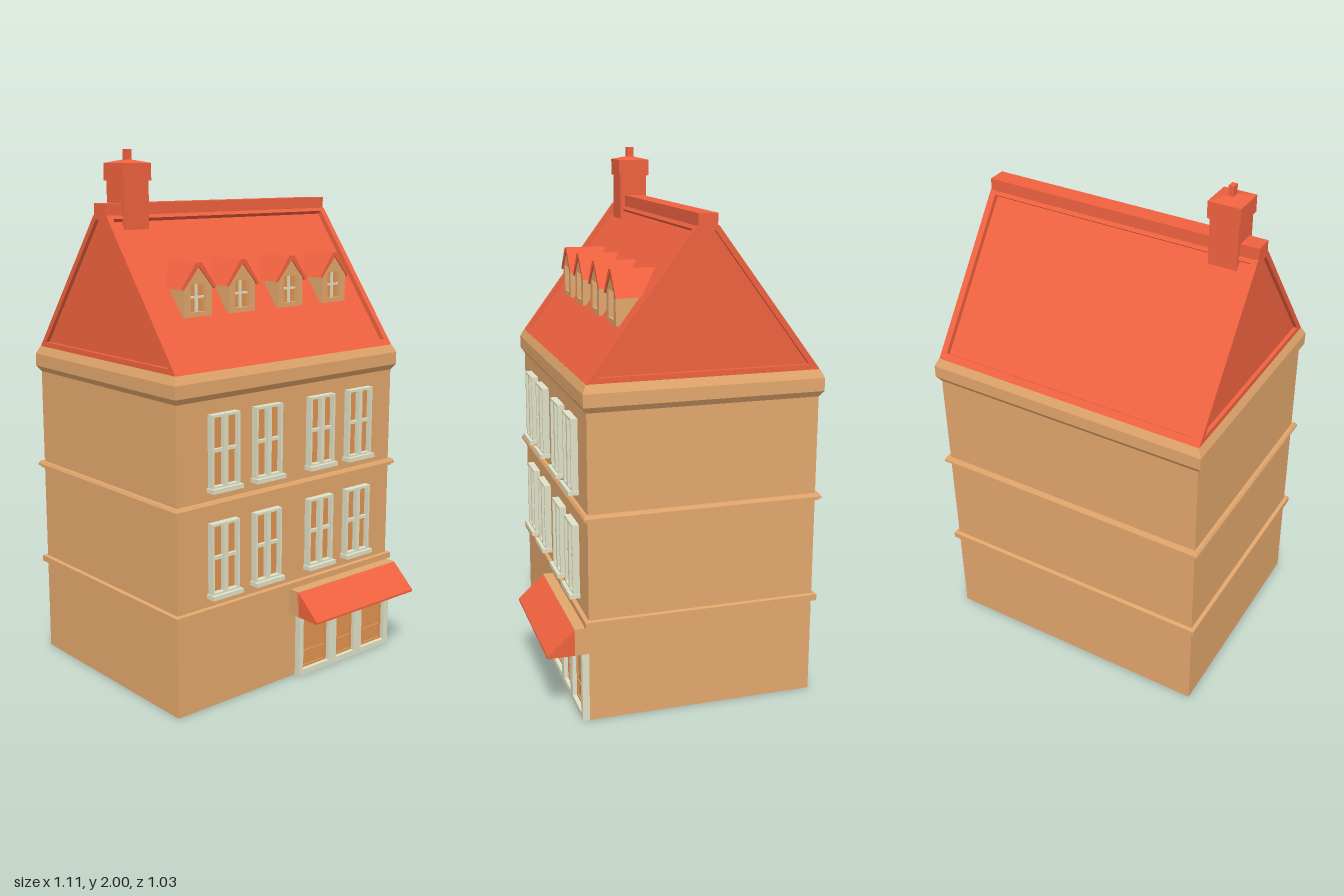
import * as THREE from 'three';

const mat = (color) => new THREE.MeshStandardMaterial({ color, flatShading: true });
const tan = mat(0xe2a66c), red = mat(0xf0623f), pane = mat(0xe0924f), cream = mat(0xdfe0c6);

const W = 0.538, D = 0.43, CZ = -0.06, FRONT = 0.37; // half width, half depth, centre and front of the walls
const EAVE = 1.25, T = 0.02;                         // eave height, depth of the roof's sunken panels

function add(parent, name, geometry, material, x = 0, y = 0, z = 0) {
  const m = new THREE.Mesh(geometry, material);
  m.name = name;
  m.position.set(x, y, z);
  parent.add(m);
  return m;
}

// Box given by its limits
function box(parent, name, material, x0, x1, y0, y1, z0, z1) {
  return add(parent, name, new THREE.BoxGeometry(x1 - x0, y1 - y0, z1 - z0), material,
    (x0 + x1) / 2, (y0 + y1) / 2, (z0 + z1) / 2);
}

const pts = (list) => list.map(([x, y]) => new THREE.Vector2(x, y));
const rect = (x0, x1, y0, y1) => [[x0, y0], [x1, y0], [x1, y1], [x0, y1]];

function plate(outline, holes, depth) {
  const s = new THREE.Shape(pts(outline));
  holes.forEach((h) => s.holes.push(new THREE.Path(pts(h))));
  return new THREE.ExtrudeGeometry(s, { depth, bevelEnabled: false });
}

// Profile in (z, y), extruded sideways from x0 to x1
const sidePlate = (outline, holes, x0, x1) =>
  plate(outline, holes, x1 - x0).rotateY(-Math.PI / 2).translate(x1, 0, 0);

// Moulding round the walls; profile points are [outward offset, y]
function moulding(parent, name, profile, material) {
  const g = new THREE.LatheGeometry(pts(profile.map(([o, y]) => [1 + o, y])), 4, Math.PI / 4);
  const p = g.attributes.position;
  for (let i = 0; i < p.count; i++) {
    const x = p.getX(i), z = p.getZ(i), off = Math.hypot(x, z) - 1;
    p.setX(i, Math.sign(x) * (W + off));
    p.setZ(i, Math.sign(z) * (D + off));
  }
  g.computeVertexNormals();
  add(parent, name, g, material, 0, 0, CZ);
}

// Sash window with two tall lights, a crossbar and a sill
function makeWindow(parent, x, y) {
  const g = new THREE.Group();
  g.name = 'window';
  g.position.set(x, y, FRONT);
  const w = 0.064, h = 0.268;
  add(g, 'windowFrame', plate(rect(-w, w, 0, h), [
    rect(-w + 0.009, -0.009, 0.01, h - 0.009), rect(0.009, w - 0.009, 0.01, h - 0.009),
  ], 0.026), cream);
  box(g, 'windowPane', pane, -w + 0.005, w - 0.005, 0.005, h - 0.005, -0.01, 0.006);
  box(g, 'windowCrossbar', cream, -w + 0.005, w - 0.005, 0.132, 0.144, 0, 0.018);
  box(g, 'windowSill', cream, -w - 0.006, w + 0.006, -0.012, 0.004, -0.005, 0.04);
  parent.add(g);
}

function makeDormer(parent, x) {
  const g = new THREE.Group();
  g.name = 'dormer';
  g.position.x = x;
  const outline = [[-0.062, 1.42], [0.062, 1.42], [0.062, 1.53], [0, 1.602], [-0.062, 1.53]];
  add(g, 'dormerFront', plate(outline, [rect(-0.034, 0.034, 1.437, 1.537)], 0.02), tan, 0, 0, 0.21);
  add(g, 'dormerWalls', plate(outline, [], 0.15), tan, 0, 0, 0.06);
  box(g, 'dormerPane', pane, -0.034, 0.034, 1.437, 1.537, 0.2, 0.214);
  box(g, 'dormerMullion', cream, -0.004, 0.004, 1.437, 1.537, 0.21, 0.222);
  box(g, 'dormerCrossbar', cream, -0.034, 0.034, 1.485, 1.493, 0.21, 0.22);
  add(g, 'dormerRoof', plate([
    [-0.08, 1.52], [-0.068, 1.518], [0, 1.597], [0.068, 1.518], [0.08, 1.52], [0.013, 1.612], [-0.013, 1.612],
  ], [], 0.175), red, 0, 0, 0.06);
  parent.add(g);
}

function makeRoof(parent) {
  const roof = new THREE.Group();
  roof.name = 'roof';
  roof.position.z = CZ;
  parent.add(roof);
  const top = 1.77, half = 0.04, inset = T / 0.8;
  // Sunken core
  add(roof, 'roofCore', sidePlate([[-D + inset, EAVE], [D - inset, EAVE], [half - inset, top], [inset - half, top]],
    [], -W + 0.015, W - 0.015), red);
  // Raised borders on the gables
  const hole = [[-0.389, 1.27], [0.389, 1.27], [0.026, 1.755], [-0.026, 1.755]];
  for (const x0 of [-W, W - 0.015]) {
    add(roof, 'gableBorder', sidePlate([[-D, EAVE], [D, EAVE], [half, top], [-half, top]], [hole], x0, x0 + 0.015), red);
  }
  // Raised borders on the two slopes (3-4-5 pitch)
  for (const turn of [0, Math.PI]) {
    const side = new THREE.Group();
    side.name = 'roofSlope';
    side.rotation.y = turn;
    const border = plate(rect(-W, W, 0, 0.65), [rect(-0.514, 0.514, 0.027, 0.635)], T);
    add(side, 'slopeBorder', border, red, 0, EAVE - 0.6 * T, D - 0.8 * T).rotation.x = -Math.asin(0.6);
    roof.add(side);
  }
  box(roof, 'ridgeCap', red, -W, W, 1.756, 1.812, -0.035, 0.035);
}

function makeShopfront(parent) {
  const shop = new THREE.Group();
  shop.name = 'shopfront';
  parent.add(shop);
  const lights = [[0.055, 0.195], [0.236, 0.338], [0.38, 0.512]];
  add(shop, 'shopFrame', plate(rect(0.035, W, 0, 0.262), lights.map(([a, b]) => rect(a, b, 0.022, 0.25)), 0.026),
    cream, 0, 0, FRONT);
  for (const [a, b] of lights) {
    box(shop, 'shopPane', pane, a, b, 0.022, 0.25, FRONT - 0.01, FRONT + 0.004);
    add(shop, 'shopPaneBorder', plate(rect(a, b, 0.022, 0.25), [
      rect(a + 0.008, b - 0.008, 0.03, 0.08), rect(a + 0.008, b - 0.008, 0.09, 0.242),
    ], 0.01), pane, 0, 0, FRONT);
  }
  // Fascia and sloping awning
  box(shop, 'fascia', tan, 0, W, 0.262, 0.362, FRONT - 0.01, 0.422);
  add(shop, 'awning', sidePlate([[0.415, 0.262], [0.522, 0.262], [0.522, 0.27], [0.422, 0.36], [0.415, 0.36]],
    [], 0, W), red);
}

function makeChimney(parent) {
  const g = new THREE.Group();
  g.name = 'chimney';
  g.position.set(-0.415, 0, CZ);
  box(g, 'chimneyShaft', red, -0.054, 0.054, 1.708, 1.9, -0.054, 0.054);
  box(g, 'chimneyCap', red, -0.061, 0.061, 1.89, 1.952, -0.061, 0.061);
  add(g, 'chimneyCapSlope', new THREE.CylinderGeometry(0.014, 0.086, 0.012, 4, 1, false, Math.PI / 4), red, 0, 1.958, 0);
  box(g, 'chimneyPot', red, -0.01, 0.01, 1.95, 2, -0.014, 0.014);
  parent.add(g);
}

export function createModel() {
  const house = new THREE.Group();
  house.name = 'townHouse';

  box(house, 'walls', tan, -W, W, 0, EAVE - 0.01, CZ - D, CZ + D);
  moulding(house, 'lowerBand', [[-0.01, 0.365], [0.015, 0.365], [0.015, 0.388], [-0.01, 0.392]], tan);
  moulding(house, 'upperBand', [[-0.01, 0.76], [0.01, 0.76], [0.01, 0.768], [0.018, 0.768], [0.018, 0.776],
    [0.012, 0.786], [-0.01, 0.786]], tan);
  moulding(house, 'cornice', [[-0.01, 1.15], [0, 1.15], [0.015, 1.172], [0.015, 1.22], [0.001, EAVE], [-0.05, EAVE]], tan);

  for (const y of [0.437, 0.832]) {
    for (const x of [-0.335, -0.129, 0.141, 0.345]) makeWindow(house, x, y);
  }
  makeShopfront(house);
  makeRoof(house);
  for (const x of [-0.325, -0.12, 0.122, 0.352]) makeDormer(house, x);
  makeChimney(house);
  return house;
}
